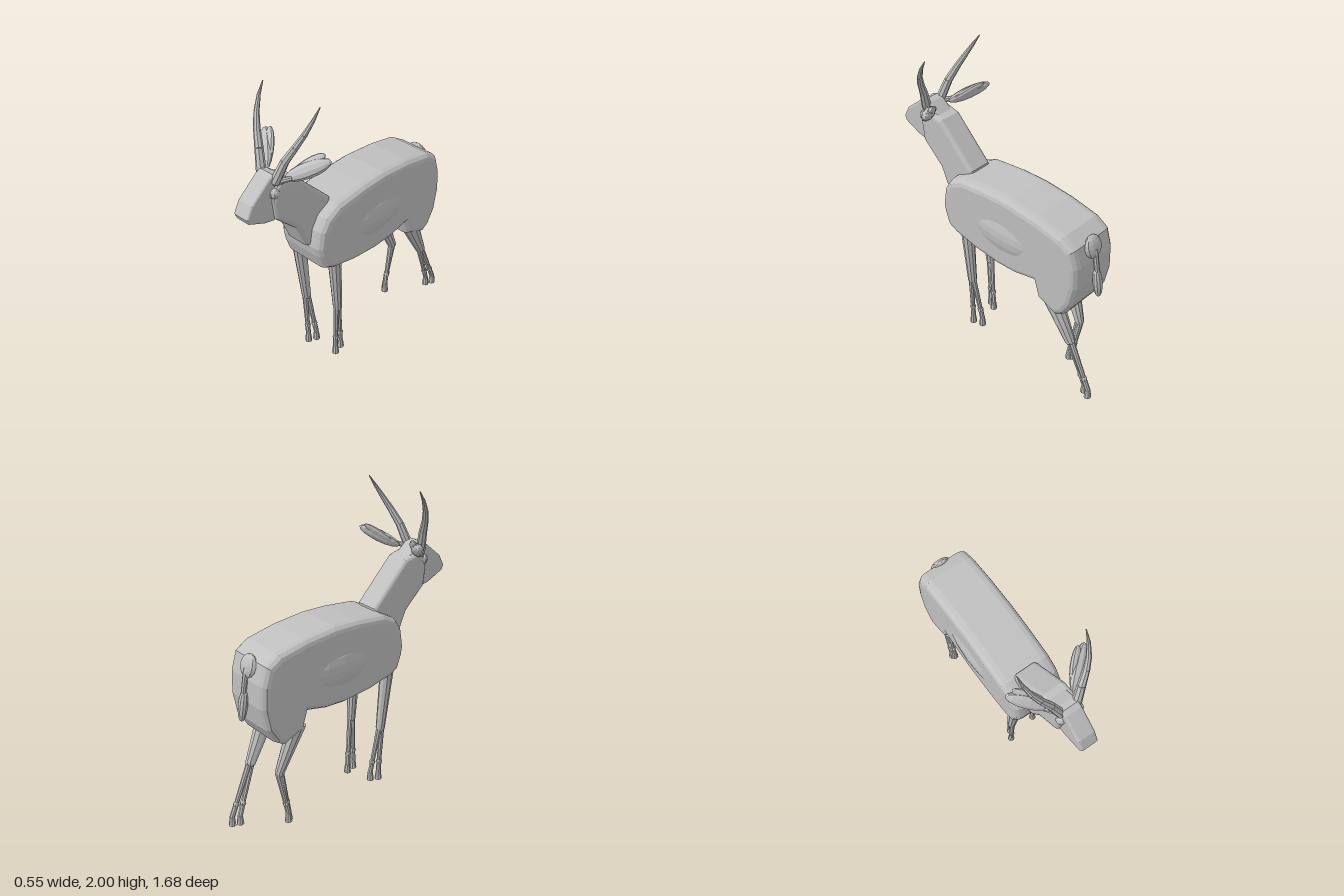
import * as THREE from 'three';

export function createModel() {
  const model = new THREE.Group();
  model.name = 'antelope';
  const hide = new THREE.MeshStandardMaterial({ color: 0xc0c0c0, flatShading: true });
  hide.name = 'grey hide';
  const V = (p) => new THREE.Vector3(...p);

  function add(name, geometry, parent = model) {
    const mesh = new THREE.Mesh(geometry, hide);
    mesh.name = name;
    parent.add(mesh);
    return mesh;
  }

  // Side profile of [z, y] points, given a width across x and a rounded rim
  function slab(name, points, halfWidth, rim, thick) {
    const shape = new THREE.Shape(points.map(([z, y]) => new THREE.Vector2(z, y)));
    const depth = 2 * (halfWidth - thick);
    const geometry = new THREE.ExtrudeGeometry(shape, {
      depth, bevelEnabled: true, bevelSize: rim, bevelOffset: -rim, bevelThickness: thick, bevelSegments: 3,
    });
    geometry.translate(0, 0, -depth / 2);
    geometry.rotateY(-Math.PI / 2);
    return add(name, geometry);
  }

  // Tapered rod from a to b
  function rod(name, a, b, ra, rb, parent, sides = 8) {
    const from = V(a), to = V(b), dir = to.clone().sub(from);
    const mesh = add(name, new THREE.CylinderGeometry(rb, ra, dir.length(), sides), parent);
    mesh.position.copy(from).add(to).multiplyScalar(0.5);
    mesh.quaternion.setFromUnitVectors(new THREE.Vector3(0, 1, 0), dir.normalize());
    return mesh;
  }

  // Ellipsoid with its long axis from a to b
  function leaf(name, a, b, rx, rz, parent) {
    const from = V(a), to = V(b), dir = to.clone().sub(from);
    const mesh = add(name, new THREE.SphereGeometry(1, 10, 8), parent);
    mesh.scale.set(rx, dir.length() / 2, rz);
    mesh.position.copy(from).add(to).multiplyScalar(0.5);
    mesh.quaternion.setFromUnitVectors(new THREE.Vector3(0, 1, 0), dir.normalize());
    return mesh;
  }

  // Trunk with haunches
  slab('body', [
    [0.39, 0.98], [0.37, 1.1], [0.32, 1.18], [0.22, 1.235], [0, 1.265], [-0.18, 1.275], [-0.4, 1.26],
    [-0.6, 1.225], [-0.69, 1.17], [-0.725, 1.05], [-0.73, 0.9], [-0.7, 0.75], [-0.64, 0.65],
    [-0.58, 0.61], [-0.43, 0.67], [-0.395, 0.78], [-0.25, 0.745], [-0.1, 0.735], [0.1, 0.75],
    [0.27, 0.785], [0.345, 0.82], [0.38, 0.92],
  ], 0.18, 0.045, 0.055);
  const flanks = add('flanks', new THREE.SphereGeometry(1, 24, 16));
  flanks.scale.set(0.2, 0.23, 0.46);
  flanks.position.set(0, 0.98, -0.13);

  // Neck and head
  slab('neck', [
    [0.6, 1.54], [0.47, 1.51], [0.21, 1.25], [0.2, 1.1], [0.38, 0.97], [0.42, 1], [0.49, 1.16],
    [0.64, 1.3], [0.655, 1.42], [0.64, 1.5],
  ], 0.085, 0.03, 0.025);
  slab('head', [
    [0.84, 1.385], [0.8, 1.46], [0.665, 1.575], [0.63, 1.59], [0.59, 1.58], [0.49, 1.5], [0.52, 1.4],
    [0.64, 1.285], [0.71, 1.3], [0.825, 1.35],
  ], 0.06, 0.015, 0.015);

  // Eyes, ears and horns on both sides
  for (const s of [-1, 1]) {
    const side = s > 0 ? 'left' : 'right';
    const eye = add(side + 'Eye', new THREE.SphereGeometry(0.034, 10, 8));
    eye.position.set(s * 0.06, 1.475, 0.635);

    const ear = new THREE.Group();
    ear.name = side + 'Ear';
    model.add(ear);
    rod('earStalk', [s * 0.04, 1.53, 0.63], [s * 0.12, 1.56, 0.55], 0.022, 0.014, ear);
    leaf('earOuter', [s * 0.075, 1.545, 0.56], [s * 0.272, 1.665, 0.39], 0.05, 0.035, ear);
    leaf('earInner', [s * 0.09, 1.55, 0.54], [s * 0.225, 1.69, 0.39], 0.04, 0.022, ear);

    const horn = new THREE.Group();
    horn.name = side + 'Horn';
    model.add(horn);
    const path = [[0.055, 1.54, 0.62], [0.105, 1.68, 0.585], [0.155, 1.775, 0.55], [0.19, 1.85, 0.515],
      [0.215, 1.93, 0.47], [0.225, 2, 0.425]].map(([x, y, z]) => [s * x, y, z]);
    const radii = [0.031, 0.026, 0.021, 0.017, 0.011, 0.003];
    for (let i = 0; i < 5; i++) rod('hornSegment', path[i], path[i + 1], radii[i], radii[i + 1], horn);
  }

  // Legs: one tapered upper rod, then two slim rods ending in hooves
  function leg(name, top, knee, feet, rTop, rKnee) {
    const group = new THREE.Group();
    group.name = name;
    model.add(group);
    rod('upperLeg', top, knee, rTop, rKnee, group, 10);
    leaf('knee', [knee[0], knee[1] - 0.03, knee[2]], [knee[0], knee[1] + 0.03, knee[2]], rKnee, rKnee, group);
    feet.forEach(([x, z], i) => {
      const off = i ? -0.011 : 0.011;
      const start = V([knee[0], knee[1], knee[2] + off]);
      const end = V([x, 0.06, z]);
      const ankle = start.clone().lerp(end, (start.y - 0.14) / (start.y - 0.06));
      rod('shin', start.toArray(), ankle.toArray(), 0.019, 0.015, group);
      const joint = add('ankle', new THREE.SphereGeometry(0.021, 8, 6), group);
      joint.position.copy(ankle);
      rod('pastern', ankle.toArray(), end.toArray(), 0.017, 0.017, group);
      const hoof = add('hoof', new THREE.CylinderGeometry(0.017, 0.024, 0.062, 8), group);
      hoof.position.set(x, 0.031, z);
    });
  }
  leg('frontRightLeg', [-0.12, 0.86, 0.292], [-0.115, 0.4, 0.245], [[-0.11, 0.24], [-0.085, 0.19]], 0.046, 0.03);
  leg('frontLeftLeg', [0.12, 0.86, 0.222], [0.115, 0.4, 0.19], [[0.105, 0.2], [0.085, 0.133]], 0.046, 0.03);
  leg('hindRightLeg', [-0.115, 0.7, -0.445], [-0.09, 0.38, -0.572], [[-0.085, -0.505], [-0.1, -0.52]], 0.058, 0.03);
  leg('hindLeftLeg', [0.115, 0.7, -0.5], [0.1, 0.4, -0.652], [[0.075, -0.768], [0.095, -0.815]], 0.062, 0.034);

  // Tail
  leaf('tailBase', [0, 1.2, -0.68], [0, 1.06, -0.725], 0.07, 0.03);
  rod('tailStem', [0, 1.12, -0.72], [0, 0.94, -0.752], 0.018, 0.016);
  leaf('tailTuft', [0, 0.985, -0.74], [0, 0.78, -0.772], 0.033, 0.03);

  return model;
}
